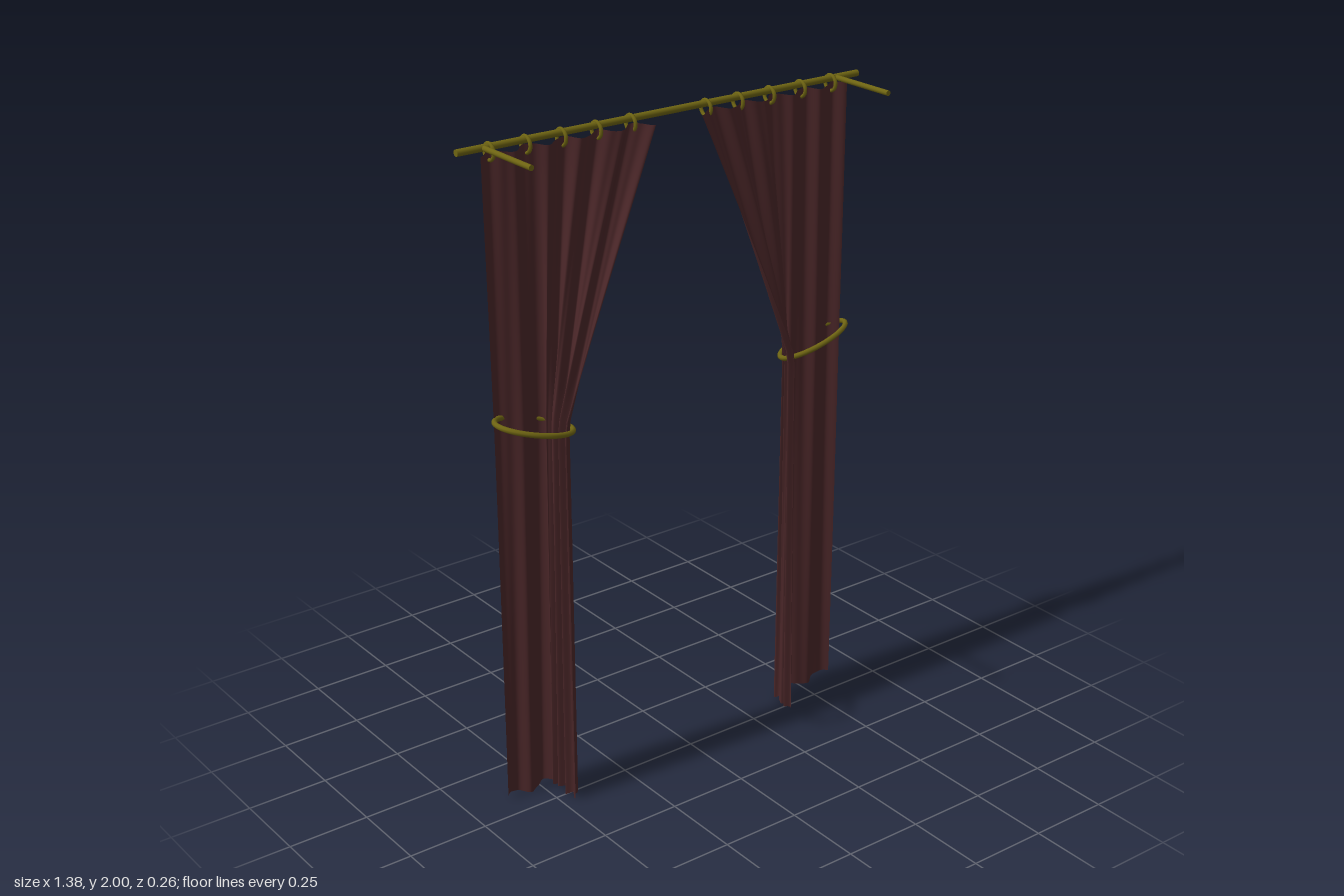
import * as THREE from 'three';

const fabric = new THREE.MeshStandardMaterial({ color: 0x4a2628, side: THREE.DoubleSide });
fabric.name = 'maroon fabric';
const brass = new THREE.MeshStandardMaterial({ color: 0x6e6412 });
brass.name = 'dark brass';

const ROD_Y = 1.985, ROD_Z = -0.1;
const WAIST = 1.18, TOP = 1.975;
const lerp = THREE.MathUtils.lerp;

function add(group, geometry, material, name) {
  const mesh = new THREE.Mesh(geometry, material);
  mesh.name = name;
  group.add(mesh);
  return mesh;
}

// Point on a section of three [x, z] corners: outer edge, bend, inner edge
function along(section, u, bend) {
  const [a, b, c] = section;
  const k = u < bend ? u / bend : (u - bend) / (1 - bend);
  const [p, q] = u < bend ? [a, b] : [b, c];
  return [lerp(p[0], q[0], k), lerp(p[1], q[1], k)];
}

// Pleated cloth lofted through a top, a waist and a hem section
function curtainGeometry({ top, waist, hem, bend, side }) {
  const cols = 160, rows = 48;
  const pos = [], index = [];
  for (let j = 0; j <= rows; j++) {
    const v = j / rows;
    for (let i = 0; i <= cols; i++) {
      const u = i / cols;
      const phase = u * Math.PI * 2 * 4.9;
      let y = lerp(TOP, 0.008, v);
      // Hang slack between the rings and ripple the hem
      y -= 0.008 * (1 - Math.cos(phase - 2.3)) * 0.5 * Math.max(0, 1 - v * 8);
      y += 0.006 * Math.sin(phase * 0.7 + 1) * Math.max(0, v * 8 - 7);
      const upper = y > WAIST;
      const t = upper ? Math.min(1, (TOP - y) / (TOP - WAIST)) : (WAIST - y) / WAIST;
      const A = along(upper ? top : waist, u, bend);
      const B = along(upper ? waist : hem, u, bend);
      // Gathered cloth folds sideways, the hanging cloth folds front to back
      const gather = THREE.MathUtils.smoothstep(u, bend - 0.04, bend + 0.1);
      const turn = gather * (upper ? t : 1) * Math.PI / 2;
      const fold = -Math.cos(phase - 2.3) * 0.012 + 0.003 * Math.sin(phase * 2.3 + v * 3);
      pos.push(
        lerp(A[0], B[0], t) * side + fold * Math.sin(turn) * side,
        y,
        lerp(A[1], B[1], t) + fold * Math.cos(turn)
      );
      if (i < cols && j < rows) {
        const a = j * (cols + 1) + i, b = a + cols + 1;
        if (side < 0) index.push(a, b, a + 1, b, b + 1, a + 1);
        else index.push(a, a + 1, b, b, a + 1, b + 1);
      }
    }
  }
  const geometry = new THREE.BufferGeometry();
  geometry.setAttribute('position', new THREE.Float32BufferAttribute(pos, 3));
  geometry.setIndex(index);
  geometry.computeVertexNormals();
  return geometry;
}

// Tilted oval band round the waist of a curtain
function tiebackGeometry(x, z, rx, rz, slope) {
  const points = [];
  for (let i = 0; i < 40; i++) {
    const a = i / 40 * Math.PI * 2;
    points.push(new THREE.Vector3(
      x + rx * Math.cos(a), 1.198 + slope * Math.cos(a), z + rz * Math.sin(a)));
  }
  return new THREE.TubeGeometry(new THREE.CatmullRomCurve3(points, true), 80, 0.008, 8, true);
}

export function createModel() {
  const model = new THREE.Group();
  model.name = 'curtains';

  // Rod across the top
  const rod = add(model, new THREE.CylinderGeometry(0.01, 0.01, 1.38, 16), brass, 'rod');
  rod.rotation.z = Math.PI / 2;
  rod.position.set(0, ROD_Y, ROD_Z);

  // Wall brackets and curtain rings
  for (const [side, label] of [[-1, 'right'], [1, 'left']]) {
    const bracket = add(model, new THREE.CylinderGeometry(0.008, 0.008, 0.23, 12), brass, label + 'Bracket');
    bracket.rotation.x = Math.PI / 2;
    bracket.position.set(side * 0.607, ROD_Y, 0.015);
    for (let i = 0; i < 5; i++) {
      const ring = add(model, new THREE.TorusGeometry(0.023, 0.0055, 8, 24), brass, label + 'Ring' + (i + 1));
      ring.rotation.y = Math.PI / 2;
      ring.position.set(side * (0.13 + i * 0.1145), 1.9715, ROD_Z);
    }
  }

  // Sections are measured outward from the middle
  add(model, curtainGeometry({
    side: -1, bend: 0.34,
    top: [[0.628, -0.087], [0.44, -0.085], [0.072, -0.072]],
    waist: [[0.62, -0.087], [0.445, -0.082], [0.425, 0.005]],
    hem: [[0.618, -0.087], [0.46, -0.08], [0.452, 0.042]],
  }), fabric, 'rightCurtain');
  add(model, curtainGeometry({
    side: 1, bend: 0.39,
    top: [[0.634, -0.087], [0.42, -0.085], [0.08, -0.072]],
    waist: [[0.628, -0.087], [0.42, -0.082], [0.405, -0.035]],
    hem: [[0.625, -0.087], [0.405, -0.08], [0.368, 0.03]],
  }), fabric, 'leftCurtain');

  // Tiebacks
  add(model, tiebackGeometry(-0.523, -0.025, 0.116, 0.086, -0.029), brass, 'rightTieback');
  add(model, tiebackGeometry(0.518, -0.07, 0.122, 0.047, 0.031), brass, 'leftTieback');

  return model;
}
